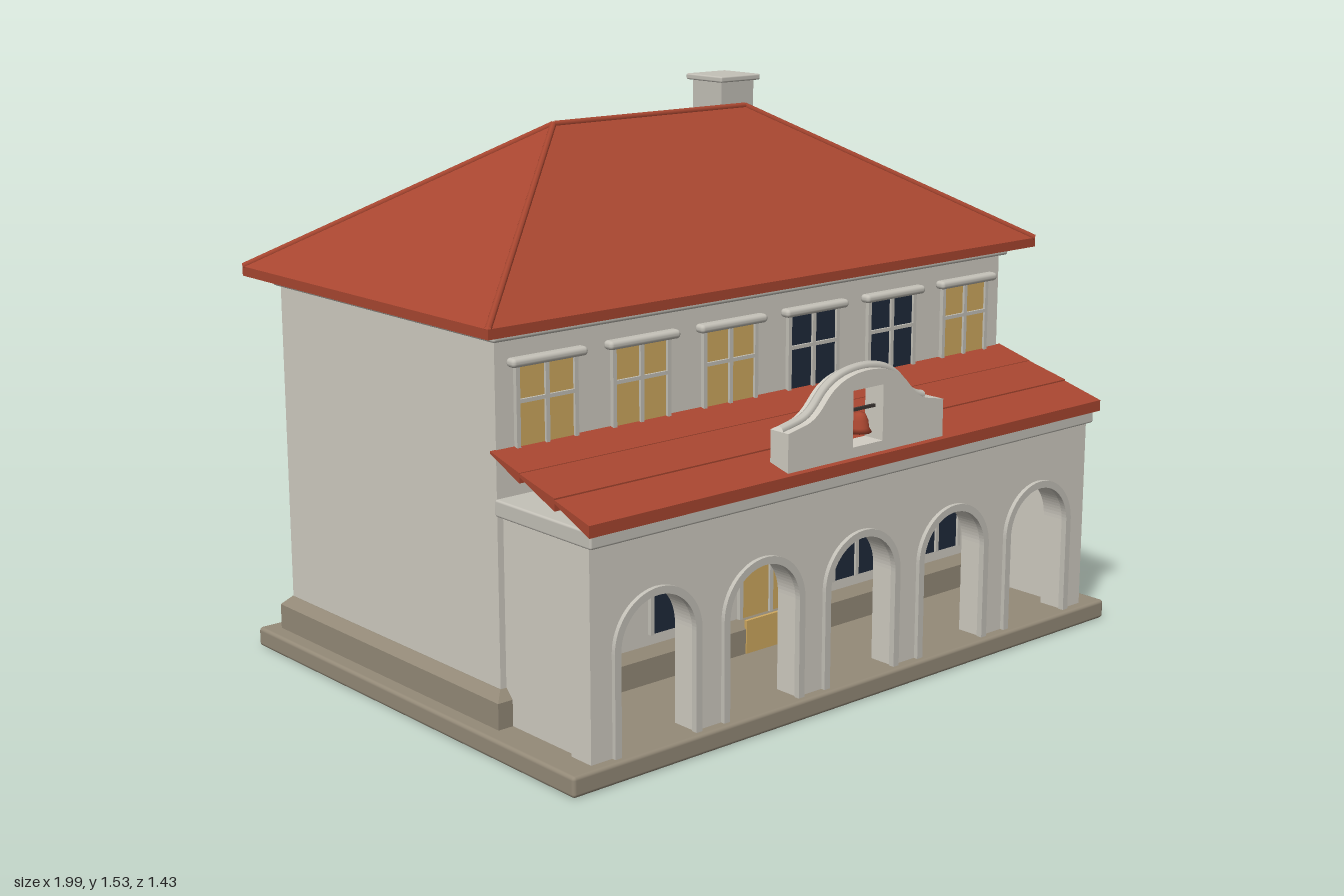
import * as THREE from 'three';
import { RoundedBoxGeometry } from 'three/addons/geometries/RoundedBoxGeometry.js';

export function createModel() {
  const house = new THREE.Group();
  house.name = 'house';

  const material = (name, color, extra = {}) => {
    const m = new THREE.MeshStandardMaterial({ color, ...extra });
    m.name = name;
    return m;
  };
  const plaster = material('plaster', 0xd0ccc2);
  const trim = material('trim', 0xc4c1b8);
  const stone = material('stone', 0x948a78);
  const tile = material('roofTile', 0xa84630);
  const darkGlass = material('darkGlass', 0x1f2a3b);
  const litGlass = material('litGlass', 0xcfa95f);
  const iron = material('iron', 0x3a3532);

  const add = (name, geometry, mat, parent = house) => {
    const mesh = new THREE.Mesh(geometry, mat);
    mesh.name = name;
    parent.add(mesh);
    return mesh;
  };
  // Box given by its limits, optionally with softened edges
  const box = (name, mat, [x0, x1], [y0, y1], [z0, z1], round = 0, parent = house) => {
    const size = [x1 - x0, y1 - y0, z1 - z0];
    const g = round ? new RoundedBoxGeometry(...size, 2, round) : new THREE.BoxGeometry(...size);
    g.translate((x0 + x1) / 2, (y0 + y1) / 2, (z0 + z1) / 2);
    return add(name, g, mat, parent);
  };
  // Solid through a stack of rectangles: [half width, back z, front z, y]
  const stack = (name, mat, rects) => {
    const pos = [], index = [];
    rects.forEach(([x, z0, z1, y]) => pos.push(-x, y, z1, x, y, z1, x, y, z0, -x, y, z0));
    for (let r = 0; r < rects.length - 1; r++) {
      for (let i = 0; i < 4; i++) {
        const a = r * 4 + i, b = r * 4 + (i + 1) % 4;
        index.push(a, b, b + 4, a, b + 4, a + 4);
      }
    }
    const t = (rects.length - 1) * 4;
    index.push(0, 2, 1, 0, 3, 2, t, t + 1, t + 2, t, t + 2, t + 3);
    let g = new THREE.BufferGeometry();
    g.setAttribute('position', new THREE.Float32BufferAttribute(pos, 3));
    g.setIndex(index);
    g = g.toNonIndexed();
    g.computeVertexNormals();
    return add(name, g, mat);
  };
  const extrude = (shape, depth, z) => new THREE.ExtrudeGeometry(shape, {
    depth, bevelEnabled: false, curveSegments: 20,
  }).translate(0, 0, z);

  // Base, plinth, walls and cornice
  box('baseSlab', stone, [-0.99, 0.99], [0, 0.055], [-0.71, 0.715], 0.01);
  stack('plinth', stone, [
    [0.945, -0.66, 0.36, 0.05], [0.945, -0.66, 0.36, 0.125], [0.92, -0.636, 0.336, 0.15],
  ]);
  box('mainWalls', plaster, [-0.918, 0.918], [0.14, 1.05], [-0.635, 0.335]);
  box('cornice', trim, [-0.935, 0.935], [1.037, 1.068], [-0.652, 0.357], 0.008);

  // Hipped roof with capped hips and ridge
  stack('mainRoof', tile, [
    [0.99, -0.71, 0.41, 1.062], [0.99, -0.71, 0.41, 1.088], [0.35, -0.151, -0.149, 1.475],
  ]);
  const cap = (name, a, b) => add(name, new THREE.TubeGeometry(
    new THREE.LineCurve3(new THREE.Vector3(...a), new THREE.Vector3(...b)), 1, 0.009, 8), tile);
  cap('ridgeCap', [-0.35, 1.474, -0.15], [0.35, 1.474, -0.15]);
  for (const s of [-1, 1]) {
    for (const z of [-0.708, 0.408]) cap('hipCap', [s * 0.988, 1.088, z], [s * 0.35, 1.474, -0.15]);
  }

  // Chimney
  box('chimney', trim, [0.495, 0.625], [1.15, 1.515], [-0.54, -0.41]);
  box('chimneyCap', trim, [0.48, 0.64], [1.512, 1.53], [-0.555, -0.395], 0.005);

  // Windows: glass plate, frame bars, lintel and sill
  const wallZ = 0.335;
  const opening = (name, x, half, y0, y1, barY, glass) => {
    const g = new THREE.Group();
    g.name = name;
    g.position.x = x;
    house.add(g);
    box('glass', glass, [-half, half], [y0, y1], [wallZ - 0.002, wallZ + 0.005], 0, g);
    const z = [wallZ, wallZ + 0.012];
    box('verticalBar', trim, [-0.006, 0.006], [y0, y1], z, 0, g);
    box('crossBar', trim, [-half, half], [barY - 0.005, barY + 0.005], z, 0, g);
    for (const s of [-1, 1]) {
      const e = s * (half + 0.004);
      box('sideFrame', trim, [e - 0.006, e + 0.006], [y0, y1], z, 0, g);
    }
    return g;
  };
  [-0.765, -0.46, -0.153, 0.153, 0.46, 0.765].forEach((x, i) => {
    const g = opening('upperWindow', x, 0.087, 0.735, 0.975, 0.88, i === 3 || i === 4 ? darkGlass : litGlass);
    box('lintel', trim, [-0.118, 0.118], [0.968, 0.992], [0.33, 0.365], 0.011, g);
    box('sill', trim, [-0.118, 0.118], [0.717, 0.735], [0.33, 0.365], 0.008, g);
  });
  for (const x of [-0.67, -0.335, 0.335, 0.67]) {
    opening('lowerWindow', x, 0.09, 0.18, 0.445, 0.355, darkGlass);
  }
  const door = opening('door', 0, 0.108, 0.15, 0.45, 0.31, litGlass);
  box('doorLeaf', litGlass, [-0.108, 0.108], [0.056, 0.15], [0.355, 0.364], 0, door);

  // Arcade front with five round arches
  const archPath = (path, x, r) => {
    path.moveTo(x - r, 0.055);
    path.lineTo(x + r, 0.055);
    path.lineTo(x + r, 0.322);
    path.absarc(x, 0.322, r, 0, Math.PI, false);
    path.lineTo(x - r, 0.055);
    return path;
  };
  const centres = [-2, -1, 0, 1, 2].map((i) => i * 0.353);
  const front = new THREE.Shape();
  front.moveTo(-0.912, 0.05);
  for (const x of centres) {
    front.lineTo(x - 0.125, 0.05);
    front.lineTo(x - 0.125, 0.322);
    front.absarc(x, 0.322, 0.125, Math.PI, 0, true);
    front.lineTo(x + 0.125, 0.05);
  }
  front.lineTo(0.912, 0.05);
  front.lineTo(0.912, 0.605);
  front.lineTo(-0.912, 0.605);
  add('arcadeWall', extrude(front, 0.075, 0.61), plaster);

  // Raised moulding round every arch
  for (const x of centres) {
    const band = new THREE.Shape();
    band.moveTo(x + 0.12, 0.055);
    band.lineTo(x + 0.14, 0.055);
    band.lineTo(x + 0.14, 0.322);
    band.absarc(x, 0.322, 0.14, 0, Math.PI, false);
    band.lineTo(x - 0.14, 0.055);
    band.lineTo(x - 0.12, 0.055);
    band.lineTo(x - 0.12, 0.322);
    band.absarc(x, 0.322, 0.12, Math.PI, 0, true);
    add('archMoulding', extrude(band, 0.017, 0.68), trim);
  }

  // Porch side walls and ceiling slab
  for (const s of [-1, 1]) {
    const x = [s * 0.87, s * 0.9].sort((a, b) => a - b);
    box('porchSideWall', plaster, x, [0.055, 0.605], [0.33, 0.615]);
  }
  box('porchSlab', trim, [-0.922, 0.922], [0.598, 0.642], [0.33, 0.703], 0.006);

  // Porch roof in three overlapping wedge courses
  const courses = [
    [0.715, 0.633, 0.664, 0.57, 0.702],
    [0.585, 0.670, 0.702, 0.435, 0.738],
    [0.45, 0.710, 0.736, 0.333, 0.767],
  ];
  for (const [z0, low, high, z1, tip] of courses) {
    const s = new THREE.Shape();
    s.moveTo(z0, low);
    s.lineTo(z0, high);
    s.lineTo(z1, tip);
    s.lineTo(z1, tip - 0.006);
    add('porchRoofCourse', extrude(s, 1.87, 0).rotateY(-Math.PI / 2).translate(0.935, 0, 0), tile);
  }

  // Curved parapet with an open niche
  const crest = (path) => {
    path.lineTo(0.285, 0.77);
    path.lineTo(0.235, 0.78);
    path.bezierCurveTo(0.17, 0.79, 0.16, 0.835, 0.12, 0.86);
    path.bezierCurveTo(0.06, 0.902, -0.06, 0.902, -0.12, 0.86);
    path.bezierCurveTo(-0.16, 0.835, -0.17, 0.79, -0.235, 0.78);
    path.lineTo(-0.285, 0.77);
  };
  const parapet = new THREE.Shape();
  parapet.moveTo(-0.285, 0.64);
  parapet.lineTo(0.285, 0.64);
  crest(parapet);
  const niche = new THREE.Path();
  niche.moveTo(-0.055, 0.695);
  niche.lineTo(-0.055, 0.845);
  niche.lineTo(0.055, 0.845);
  niche.lineTo(0.055, 0.695);
  parapet.holes.push(niche);
  add('parapet', extrude(parapet, 0.065, 0.637), plaster);

  // Rounded coping along the parapet crest
  const edge = new THREE.Path();
  edge.moveTo(0.285, 0.77);
  crest(edge);
  const points = edge.getPoints(8).slice(1).map((p) => new THREE.Vector3(p.x, p.y + 0.003, 0.67));
  add('parapetCoping', new THREE.TubeGeometry(new THREE.CatmullRomCurve3(points), 60, 0.013, 8), trim);

  // Bell hanging from a bar in the niche
  box('bellBar', iron, [-0.055, 0.055], [0.78, 0.788], [0.666, 0.674]);
  const profile = [[0, 0.775], [0.015, 0.772], [0.023, 0.755], [0.026, 0.735], [0.033, 0.722], [0, 0.722]];
  const bell = new THREE.LatheGeometry(profile.reverse().map(([r, y]) => new THREE.Vector2(r, y)), 16);
  add('bell', bell.translate(0, 0, 0.67), tile);

  return house;
}
